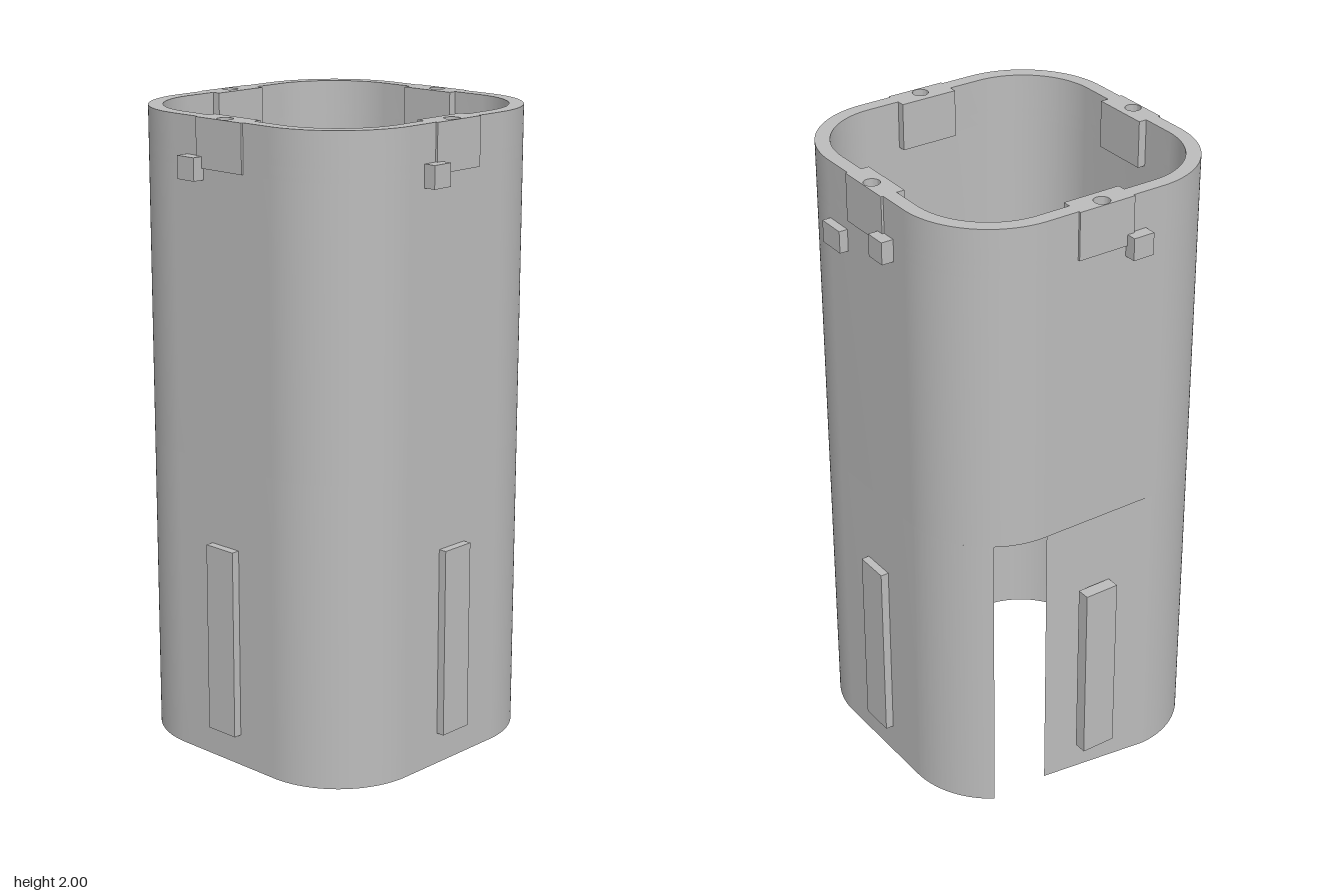
import * as THREE from 'three';
import { toCreasedNormals } from 'three/addons/utils/BufferGeometryUtils.js';

const OUT = 0.486, IN = 0.441, C = 0.2;          // outer and inner half widths, corner centre
const RO = OUT - C, RI = IN - C;                 // corner radii
const BOSS = 0.095;                              // half width of the screw bosses

// Rounded square; each side may carry a step of the given half width reaching to "reach"
function outline(path, half, reach) {
  const r = half - C;
  for (let i = 0; i < 4; i++) {
    const a = i * Math.PI / 2, c = Math.cos(a), s = Math.sin(a);
    const put = (x, y, first) => path[first ? 'moveTo' : 'lineTo'](x * c - y * s, x * s + y * c);
    put(half, -C, i === 0);
    if (reach) [[half, -BOSS], [reach, -BOSS], [reach, BOSS], [half, BOSS]].forEach(p => put(...p));
    put(half, C);
    path.absarc(C * c - C * s, C * s + C * c, r, a, a + Math.PI / 2, false);
  }
  path.closePath();
  return path;
}

function circle(x, y, r) {
  return new THREE.Path().absarc(x, y, r, 0, Math.PI * 2, false);
}

export function createModel() {
  const model = new THREE.Group();
  const grey = new THREE.MeshStandardMaterial({ color: 0xbcbcbc });
  grey.name = 'light grey plastic';

  const add = (name, geo) => {
    const mesh = new THREE.Mesh(geo, grey);
    mesh.name = name;
    model.add(mesh);
    return mesh;
  };
  // Extrude a plan (shape y = -z) upward between two heights
  const slab = (name, shape, y0, y1) => {
    const geo = new THREE.ExtrudeGeometry(shape, { depth: y1 - y0, bevelEnabled: false, curveSegments: 20 });
    geo.rotateX(-Math.PI / 2).translate(0, y0, 0);
    return add(name, toCreasedNormals(geo, 0.5));
  };
  const block = (name, x0, x1, y0, y1, z0, z1) => {
    const mesh = add(name, new THREE.BoxGeometry(x1 - x0, y1 - y0, z1 - z0));
    mesh.position.set((x0 + x1) / 2, (y0 + y1) / 2, (z0 + z1) / 2);
    return mesh;
  };

  // Lower wall, open at one back corner
  const P = Math.PI, cutA = 0.16, cutB = 0.353;
  const tO = P - Math.asin((cutB - C) / RO), tI = P - Math.asin((cutB - C) / RI);
  const lower = new THREE.Shape();
  lower.moveTo(-OUT, cutA);
  lower.absarc(-C, -C, RO, P, 1.5 * P, false);
  lower.absarc(C, -C, RO, 1.5 * P, 2 * P, false);
  lower.absarc(C, C, RO, 0, P / 2, false);
  lower.absarc(-C, C, RO, P / 2, tO, false);
  lower.absarc(-C, C, RI, tI, P / 2, true);
  lower.absarc(C, C, RI, P / 2, 0, true);
  lower.absarc(C, -C, RI, 2 * P, 1.5 * P, true);
  lower.absarc(-C, -C, RI, 1.5 * P, P, true);
  lower.lineTo(-IN, cutA);
  lower.closePath();
  slab('lowerWall', lower, 0, 0.96);

  // Full wall above the opening
  const ring = outline(new THREE.Shape(), OUT);
  ring.holes.push(outline(new THREE.Path(), IN));
  slab('upperWall', ring, 0.96, 1.85);

  // Top rim with four bosses and blind screw holes
  const rim = () => {
    const s = outline(new THREE.Shape(), OUT, 0.493);
    s.holes.push(outline(new THREE.Path(), IN, 0.415));
    return s;
  };
  slab('rimBase', rim(), 1.85, 1.89);
  const rimTop = rim();
  for (const [x, y] of [[1, 0], [-1, 0], [0, 1], [0, -1]]) {
    rimTop.holes.push(circle(x * 0.464, y * 0.464, 0.025));
  }
  slab('rimTop', rimTop, 1.89, 2);

  // Inner mounting plate: centre hole and four blind screw holes
  const plate = (screws) => {
    const w = 0.445, d = 0.165, r = 0.03, s = new THREE.Shape();
    s.absarc(w - r, d - r, r, 0, P / 2, false);
    s.absarc(-w + r, d - r, r, P / 2, P, false);
    s.absarc(-w + r, -d + r, r, P, 1.5 * P, false);
    s.absarc(w - r, -d + r, r, 1.5 * P, 2 * P, false);
    s.closePath();
    s.holes.push(circle(0, 0, 0.067));
    if (screws) for (const x of [-1, 1]) for (const y of [-1, 1]) s.holes.push(circle(x * 0.067, y * 0.067, 0.017));
    return s;
  };
  slab('plateBase', plate(false), 0.98, 1.0);
  slab('plateTop', plate(true), 1.0, 1.04);

  // Inner rib above the opening
  block('innerRib', -0.445, -0.413, 0.97, 1.3, -0.262, -0.08);

  // Long pads low on all four sides
  for (const s of [-1, 1]) {
    const a = Math.min(s * 0.47, s * 0.512), b = Math.max(s * 0.47, s * 0.512);
    block('sidePad', a, b, 0.1, 0.7, -0.057, 0.057);
    block('facePad', -0.057, 0.057, 0.1, 0.7, a, b);
    // Small locking lugs near the top
    const c = Math.min(s * 0.47, s * 0.525), d = Math.max(s * 0.47, s * 0.525);
    block('sideLug', c, d, 1.815, 1.885, 0.072, 0.142);
    block('faceLug', -0.142, -0.072, 1.815, 1.885, c, d);
  }
  // Extra lug on the back
  block('backLug', 0.108, 0.202, 1.745, 1.815, -0.514, -0.47);

  return model;
}
